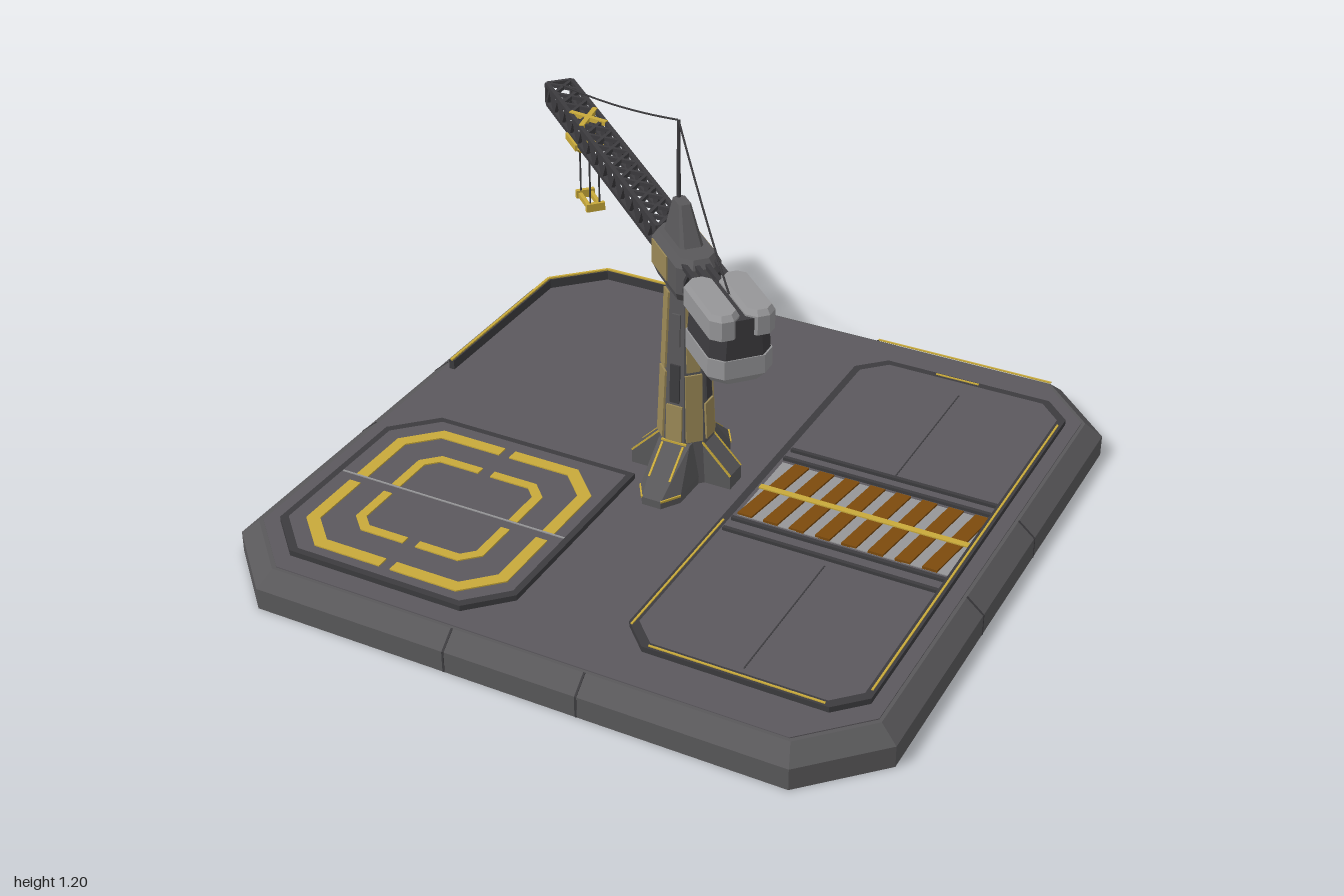
import * as THREE from 'three';
import { ConvexGeometry } from 'three/addons/geometries/ConvexGeometry.js';

const paint = (name, color) => {
  const m = new THREE.MeshStandardMaterial({ color });
  m.name = name;
  return m;
};
const deckGrey = paint('deck grey', 0x5b585d);
const steel = paint('steel grey', 0x59585a);
const dark = paint('dark steel', 0x3c3b3e);
const yellow = paint('marking yellow', 0xc8a93a);
const tan = paint('tan panel', 0x9a8856);
const light = paint('light grey', 0x969698);
const brown = paint('grating brown', 0x7c4a0c);

const V = (x, y, z) => new THREE.Vector3(x, y, z);

function add(parent, name, geo, mat, x = 0, y = 0, z = 0) {
  const m = new THREE.Mesh(geo, mat);
  m.name = name;
  m.position.set(x, y, z);
  parent.add(m);
  return m;
}
const box = (p, name, mat, w, h, d, x, y, z) => add(p, name, new THREE.BoxGeometry(w, h, d), mat, x, y, z);

// Square bar between two points
function bar(p, name, mat, a, b, t, h = t) {
  const m = box(p, name, mat, t, h, a.distanceTo(b), 0, 0, 0);
  m.position.copy(a).add(b).multiplyScalar(0.5);
  m.quaternion.setFromRotationMatrix(new THREE.Matrix4().lookAt(b, a, Math.abs(b.y - a.y) > 0.99 * a.distanceTo(b) ? V(1, 0, 0) : V(0, 1, 0)));
  return m;
}

// Chamfered rectangle as a list of [x, z]
const chamfer = (hx, hz, c, cx = 0, cz = 0) =>
  [[hx, hz - c], [hx - c, hz], [c - hx, hz], [-hx, hz - c], [-hx, c - hz], [c - hx, -hz], [hx - c, -hz], [hx, c - hz]]
    .map(([x, z]) => [x + cx, z + cz]);

// Solid through stacked outlines: [outline, y] pairs
const hull = (p, name, mat, ...levels) =>
  add(p, name, new ConvexGeometry(levels.flatMap(([o, y]) => o.map(([x, z]) => V(x, y, z)))), mat);

// Flat slab cut from an outline, optionally with a hole
function slab(p, name, mat, outline, y, h, hole) {
  const pts = o => o.map(([x, z]) => new THREE.Vector2(x, -z));
  const s = new THREE.Shape(pts(outline));
  if (hole) s.holes.push(new THREE.Path(pts(hole)));
  const g = new THREE.ExtrudeGeometry(s, { depth: h, bevelEnabled: false }).rotateX(-Math.PI / 2);
  return add(p, name, g, mat, 0, y, 0);
}

function buildBase(root) {
  const g = new THREE.Group();
  g.name = 'base';
  root.add(g);
  const rim = chamfer(1, 1, 0.2);
  hull(g, 'skirt', steel, [rim, 0], [rim, 0.065], [chamfer(0.95, 0.95, 0.17), 0.108]);
  slab(g, 'deck', deckGrey, chamfer(0.94, 0.94, 0.167), 0.105, 0.006);
  // Skirt seams on every side
  for (let k = 0; k < 4; k++) {
    const side = new THREE.Group();
    side.name = 'skirtSeams';
    side.rotation.y = k * Math.PI / 2;
    g.add(side);
    for (const x of [-0.2, 0.2]) {
      box(side, 'seam', dark, 0.006, 0.065, 0.004, x, 0.033, 0.9995);
      bar(side, 'seam', dark, V(x, 0.065, 1), V(x, 0.109, 0.95), 0.006, 0.003);
    }
  }
  box(g, 'rimStripe', yellow, 0.58, 0.004, 0.006, 0.49, 0.11, -0.955);

  // Landing pad with two broken yellow rings
  const px = -0.5, pz = 0.49;
  const pad = [[-0.11, 0.11], [-0.11, 0.77], [-0.22, 0.88], [-0.77, 0.88], [-0.89, 0.76], [-0.89, 0.23], [-0.77, 0.11]];
  const inner = pad.map(([x, z]) => [px + (x - px) * 0.95, pz + (z - pz) * 0.95]);
  slab(g, 'padFrame', dark, pad, 0.11, 0.018, inner);
  slab(g, 'padFloor', deckGrey, inner, 0.11, 0.008);
  const ring = (h, c, w, gap) => {
    const i = h - w, d = c - w * 0.586;
    const shape = [[gap, h], [h - c, h], [h, h - c], [h, gap], [i, gap], [i, i - d], [i - d, i], [gap, i]];
    for (let k = 0; k < 4; k++) {
      const m = slab(g, 'padMarking', yellow, shape, 0.118, 0.004);
      m.rotation.y = k * Math.PI / 2;
      m.position.x = px;
      m.position.z = pz;
    }
  };
  ring(0.33, 0.1, 0.037, 0.017);
  ring(0.21, 0.05, 0.028, 0.02);
  box(g, 'padLine', light, 0.75, 0.003, 0.005, px, 0.121, 0.475);

  // Corner guard rail
  const rail = [[-0.915, -0.17], [-0.915, -0.77], [-0.77, -0.915], [-0.17, -0.915]];
  for (let i = 0; i < 3; i++) {
    const [a, b] = [rail[i], rail[i + 1]];
    bar(g, 'guardRail', dark, V(a[0], 0.125, a[1]), V(b[0], 0.125, b[1]), 0.018, 0.034);
    bar(g, 'guardRailTrim', yellow, V(a[0], 0.144, a[1]), V(b[0], 0.144, b[1]), 0.009, 0.006);
  }

  // Cargo bay frame, cross bars and grating
  const bay = (hx, hz, c) => chamfer(hx, hz, c, 0.555, -0.005);
  slab(g, 'bayFrame', dark, bay(0.345, 0.815, 0.08), 0.11, 0.018, bay(0.322, 0.792, 0.07));
  box(g, 'bayTrim', yellow, 0.006, 0.004, 0.54, 0.222, 0.129, 0.47);
  box(g, 'bayTrim', yellow, 0.006, 0.004, 1.4, 0.889, 0.129, 0);
  box(g, 'bayTrim', yellow, 0.14, 0.004, 0.006, 0.525, 0.129, -0.81);
  box(g, 'bayTrim', yellow, 0.5, 0.004, 0.006, 0.555, 0.129, 0.8);
  for (const z of [-0.23, -0.18, 0.165, 0.22]) box(g, 'bayCrossBar', dark, 0.65, 0.012, 0.012, 0.555, 0.115, z);
  for (const z of [-0.5, 0.5]) box(g, 'baySeam', dark, 0.004, 0.002, 0.5, 0.555, 0.111, z);
  box(g, 'gratingPlate', light, 0.64, 0.004, 0.3, 0.555, 0.112, -0.01);
  for (let i = 0; i < 8; i++) {
    const x = 0.235 + i * 0.08;
    slab(g, 'gratingSlat', brown, [[x, 0.14], [x + 0.045, 0.14], [x + 0.085, -0.16], [x + 0.04, -0.16]], 0.112, 0.008);
  }
  box(g, 'gratingLine', yellow, 0.64, 0.004, 0.02, 0.555, 0.122, -0.007);
}

function buildTower(root) {
  const g = new THREE.Group();
  g.name = 'tower';
  root.add(g);
  const oct = a => chamfer(a, a, a * 0.586);
  hull(g, 'column', steel, [oct(0.08), 0.11], [oct(0.075), 0.25], [oct(0.052), 0.75]);
  // Cladding plates following the taper
  for (let k = 0; k < 8; k++) {
    const face = new THREE.Group();
    face.name = 'cladding';
    face.rotation.y = k * Math.PI / 4;
    g.add(face);
    const plates = k % 2 ? [[0.255, 0.47, 0.05, tan], [0.48, 0.72, 0.04, tan]]
      : [[0.255, 0.37, 0.05, tan], [0.38, 0.5, 0.03, dark], [0.56, 0.66, 0.026, steel]];
    for (const [y0, y1, w, mat] of plates) {
      const y = (y0 + y1) / 2;
      box(face, 'claddingPlate', mat, w, y1 - y0, 0.008, 0, y, 0.075 - (y - 0.25) * 0.046 + 0.002).rotation.x = -0.046;
    }
  }
  // Buttress feet: narrow ones to the sides, broad ones front and back
  for (const s of [-1, 1]) {
    const o = pts => pts.map(([a, b]) => [a * s, b * s]);
    const side = [[0, -0.035], [0.16, -0.035], [0.16, 0.035], [0, 0.035]];
    hull(g, 'sideFoot', steel, [o(side), 0.11], [o(side), 0.155], [o([[0, -0.035], [0.065, -0.035], [0.065, 0.035], [0, 0.035]]), 0.25]);
    const broad = [[-0.065, 0], [-0.065, 0.16], [-0.03, 0.215], [0.03, 0.215], [0.065, 0.16], [0.065, 0]];
    hull(g, 'broadFoot', steel, [o(broad), 0.11], [o(broad), 0.135], [o([[-0.05, 0], [-0.05, 0.075], [0.05, 0.075], [0.05, 0]]), 0.25]);
    for (const e of [-1, 1]) {
      bar(g, 'footTrim', yellow, V(e * 0.065, 0.135, s * 0.16), V(e * 0.03, 0.135, s * 0.215), 0.006);
      bar(g, 'footTrim', yellow, V(e * 0.033, 0.175, s * 0.166), V(e * 0.033, 0.245, s * 0.083), 0.006);
      bar(g, 'footTrim', yellow, V(s * 0.16, 0.154, e * 0.034), V(s * 0.066, 0.249, e * 0.034), 0.005);
    }
    bar(g, 'footTrim', yellow, V(-0.04, 0.25, s * 0.077), V(0.04, 0.25, s * 0.077), 0.006);
  }
}

// Crane head: local +x points along the boom
function buildHead(root) {
  const g = new THREE.Group();
  g.name = 'craneHead';
  g.rotation.y = Math.PI - 0.743;
  root.add(g);

  const cab = chamfer(0.135, 0.066, 0.035);
  hull(g, 'cab', steel, [chamfer(0.11, 0.055, 0.03), 0.73], [cab, 0.76], [cab, 0.84], [chamfer(0.12, 0.052, 0.03), 0.865]);
  for (const s of [-1, 1]) box(g, 'cabSidePanel', tan, 0.12, 0.075, 0.006, 0.03, 0.802, s * 0.067);
  hull(g, 'peak', steel, [chamfer(0.075, 0.035, 0.01, 0.02), 0.86], [chamfer(0.03, 0.018, 0.006, 0.035), 0.97]);
  add(g, 'mast', new THREE.CylinderGeometry(0.005, 0.007, 0.34, 8), dark, 0.06, 1.03, 0);

  // Lattice boom
  const x0 = 0.12, x1 = 1.175, n = 13, w = 0.041, lo = 0.787, hi = 0.853, t = 0.011;
  for (const z of [-w, w]) for (const y of [lo, hi]) bar(g, 'boomChord', dark, V(x0, y, z), V(x1, y, z), 0.013);
  const step = (x1 - x0) / n;
  for (let i = 0; i < n; i++) {
    const a = x0 + i * step, m = a + step / 2, b = a + step;
    for (const z of [-w, w]) {
      bar(g, 'boomBrace', dark, V(a, lo, z), V(m, hi, z), t);
      bar(g, 'boomBrace', dark, V(m, hi, z), V(b, lo, z), t);
    }
    for (const y of [lo, hi]) {
      bar(g, 'boomBrace', dark, V(a, y, -w), V(b, y, w), t);
      bar(g, 'boomBrace', dark, V(a, y, w), V(b, y, -w), t);
    }
  }
  for (const y of [lo, hi]) bar(g, 'boomEnd', dark, V(x1, y, -w), V(x1, y, w), 0.013);
  for (const z of [-w, w]) bar(g, 'boomEnd', dark, V(x1, lo, z), V(x1, hi, z), 0.013);

  // Counter jib and ballast
  for (const z of [-0.045, -0.015, 0.015, 0.045]) for (const y of [0.775, 0.845]) bar(g, 'counterJib', dark, V(-0.1, y, z), V(-0.26, y, z), 0.014);
  for (const z of [-0.045, 0.045]) for (let i = 0; i < 3; i++) bar(g, 'counterJibBrace', dark, V(-0.1 - i * 0.05, 0.775, z), V(-0.15 - i * 0.05, 0.845, z), 0.01);
  const block = (hx, hz, c, z = 0) => chamfer(hx, hz, c, -0.33, z);
  hull(g, 'ballastBase', light, [block(0.1, 0.075, 0.035), 0.655], [block(0.118, 0.092, 0.035), 0.68], [block(0.118, 0.092, 0.035), 0.735]);
  hull(g, 'ballastCore', dark, [block(0.115, 0.088, 0.035), 0.735], [block(0.115, 0.08, 0.035), 0.85]);
  for (const s of [-1, 1]) {
    const z = s * 0.05;
    hull(g, 'ballastBlock', light, [block(0.122, 0.042, 0.025, z), 0.8], [block(0.122, 0.042, 0.025, z), 0.855], [block(0.11, 0.034, 0.02, z), 0.87]);
  }

  // Sagging stay cables
  const stay = (x, y, mx, my) => add(g, 'stayCable', new THREE.TubeGeometry(
    new THREE.QuadraticBezierCurve3(V(0.06, 1.2, 0), V(mx, my, 0), V(x, y, 0)), 20, 0.003, 5), dark);
  stay(1.15, 0.855, 0.62, 0.995);
  stay(-0.33, 0.865, -0.16, 0.985);

  // Trolley, hoist cables and hook frame
  const tr = new THREE.Group();
  tr.name = 'trolley';
  tr.position.x = 0.877;
  g.add(tr);
  hull(tr, 'trolleyBody', yellow, [chamfer(0.04, 0.04, 0.015), 0.757], [chamfer(0.065, 0.06, 0.025), 0.778]);
  for (const s of [-1, 1]) {
    box(tr, 'trolleySide', yellow, 0.1, 0.02, 0.008, 0, 0.785, s * 0.056);
    bar(tr, 'trolleyCross', yellow, V(-0.055, 0.856, s * 0.04), V(0.055, 0.856, -s * 0.04), 0.016, 0.014);
    box(tr, 'hookFrame', yellow, 0.115, 0.016, 0.012, 0, 0.575, s * 0.018);
    box(tr, 'hookFrameEnd', yellow, 0.014, 0.026, 0.06, s * 0.052, 0.577, 0);
    for (const e of [-1, 1]) add(tr, 'hoistCable', new THREE.CylinderGeometry(0.003, 0.003, 0.19, 6), dark, s * 0.048, 0.67, e * 0.015);
  }
}

export function createModel() {
  const root = new THREE.Group();
  root.name = 'towerCranePlatform';
  buildBase(root);
  buildTower(root);
  buildHead(root);
  return root;
}
